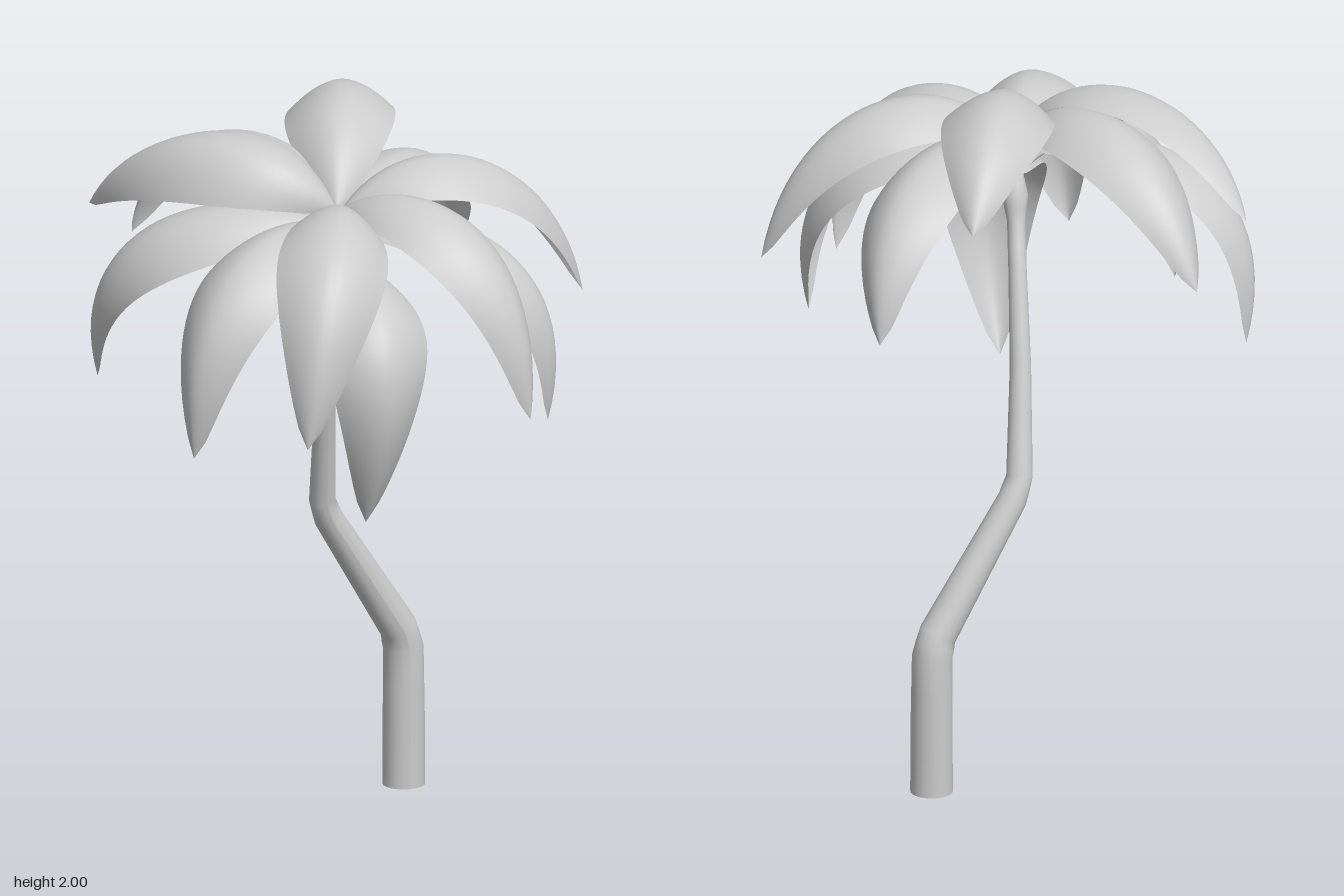
import * as THREE from 'three';

const V = (a) => new THREE.Vector3(...a);
const mat = new THREE.MeshStandardMaterial({ color: 0xcccccc });
const leafMat = new THREE.MeshStandardMaterial({ color: 0xcccccc, side: THREE.DoubleSide });

const TRUNK_TOP = [-0.045, 1.6, 0.045];

// Trunk centre line: x, y, z, radius
const TRUNK = [
  [0.262, 0, -0.268, 0.058], [0.262, 0.2, -0.268, 0.057], [0.26, 0.39, -0.266, 0.055],
  [0.242, 0.45, -0.257, 0.052], [0.02, 0.8, -0.198, 0.04], [-0.003, 0.86, -0.185, 0.036],
  [-0.025, 1.15, -0.105, 0.029], [-0.035, 1.4, -0.03, 0.025], [-0.043, 1.52, 0.018, 0.025],
  [-0.045, 1.59, 0.04, 0.036], [-0.05, 1.66, 0.052, 0.018],
];

// Fronds: height of the base, top of the arch, tip
const FRONDS = [
  [1.74, [-0.24, 1.9, -0.3], [-0.39, 1.53, -0.63]],
  [1.76, [0.08, 2.0, -0.28], [0.235, 1.75, -0.63]],
  [1.76, [-0.36, 1.925, -0.13], [-0.56, 1.67, -0.5]],
  [1.72, [-0.51, 1.7, -0.13], [-0.605, 1.24, -0.31]],
  [1.74, [0.31, 1.8, -0.25], [0.46, 1.4, -0.49]],
  [1.74, [0.34, 1.87, 0.07], [0.655, 1.46, 0.07]],
  [1.72, [-0.42, 1.69, 0.27], [-0.56, 1.19, 0.33]],
  [1.76, [-0.2, 1.77, 0.46], [-0.33, 1.27, 0.6]],
  [1.76, [0.2, 1.78, 0.39], [0.33, 1.27, 0.55]],
  [1.72, [0.35, 1.67, 0.26], [0.46, 1.19, 0.33]],
  [1.64, [-0.07, 1.53, 0.48], [-0.09, 0.98, 0.4]],
];

// Bends a unit cylinder along the trunk line, straight between the bends
function trunkGeometry() {
  const n = TRUNK.length - 1;
  const curve = new THREE.CatmullRomCurve3(TRUNK.map((p) => V(p.slice(0, 3))), false, 'catmullrom', 0);
  const geo = new THREE.CylinderGeometry(1, 1, 1, 20, n * 2);
  const pos = geo.attributes.position;
  for (let i = 0; i < pos.count; i++) {
    const t = THREE.MathUtils.clamp(pos.getY(i) + 0.5, 0, 1);
    const k = Math.min(n - 1, Math.floor(t * n));
    const r = THREE.MathUtils.lerp(TRUNK[k][3], TRUNK[k + 1][3], t * n - k);
    const dir = curve.getTangent(t);
    const sx = dir.clone().cross(V([0, 0, 1])).normalize();
    const sz = sx.clone().cross(dir);
    const p = curve.getPoint(t).addScaledVector(sx, pos.getX(i) * r).addScaledVector(sz, pos.getZ(i) * r);
    pos.setXYZ(i, p.x, p.y, p.z);
  }
  geo.computeVertexNormals();
  return geo;
}

// Arching midrib through the given point at half length, with a drooping tip
function midrib(baseY, mid, tip) {
  const a = V([-0.05, baseY, 0.06]), b = V(tip);
  const control = V(mid).multiplyScalar(2).addScaledVector(a, -0.5).addScaledVector(b, -0.5);
  const out = b.clone().sub(a).setY(0).setLength(0.1);
  return new THREE.CubicBezierCurve3(
    a, a.clone().lerp(control, 2 / 3).sub(out), b.clone().lerp(control, 2 / 3).add(out), b);
}

// Pointed blade, folded down at both sides of the midrib
function frondGeometry(curve) {
  const geo = new THREE.PlaneGeometry(1, 1, 14, 28);
  const pos = geo.attributes.position;
  const rise = curve.getPoint(0.5).sub(curve.v0);
  const side = curve.v3.clone().sub(curve.v0).cross(rise).normalize();
  for (let i = 0; i < pos.count; i++) {
    const s = pos.getX(i) * 2;
    const t = THREE.MathUtils.clamp(pos.getY(i) + 0.5, 0, 1);
    const w = Math.pow(Math.max(0, Math.sin(Math.PI * Math.pow(t, 0.92))), 0.68);
    const normal = side.clone().cross(curve.getTangent(t));
    const p = curve.getPoint(t)
      .addScaledVector(side, s * w * 0.15)
      .addScaledVector(normal, -Math.pow(Math.abs(s), 1.8) * w * 0.085);
    pos.setXYZ(i, p.x, p.y, p.z);
  }
  geo.computeVertexNormals();
  return geo;
}

export function createModel() {
  const model = new THREE.Group();
  model.name = 'palmTree';
  const add = (geo, material, name, parent) => {
    const mesh = new THREE.Mesh(geo, material);
    mesh.name = name;
    parent.add(mesh);
  };

  add(trunkGeometry(), mat, 'trunk', model);

  // Crown of fronds, each on a thin stem that ends under the blade
  const crown = new THREE.Group();
  crown.name = 'crown';
  model.add(crown);
  for (const [baseY, mid, tip] of FRONDS) {
    const curve = midrib(baseY, mid, tip);
    add(frondGeometry(curve), leafMat, 'frond', crown);
    const end = curve.getPoint(0.12);
    end.y -= 0.02;
    const stem = new THREE.QuadraticBezierCurve3(V(TRUNK_TOP), V([-0.05, baseY - 0.05, 0.06]), end);
    add(new THREE.TubeGeometry(stem, 8, 0.006, 6), mat, 'frondStem', crown);
  }
  return model;
}
